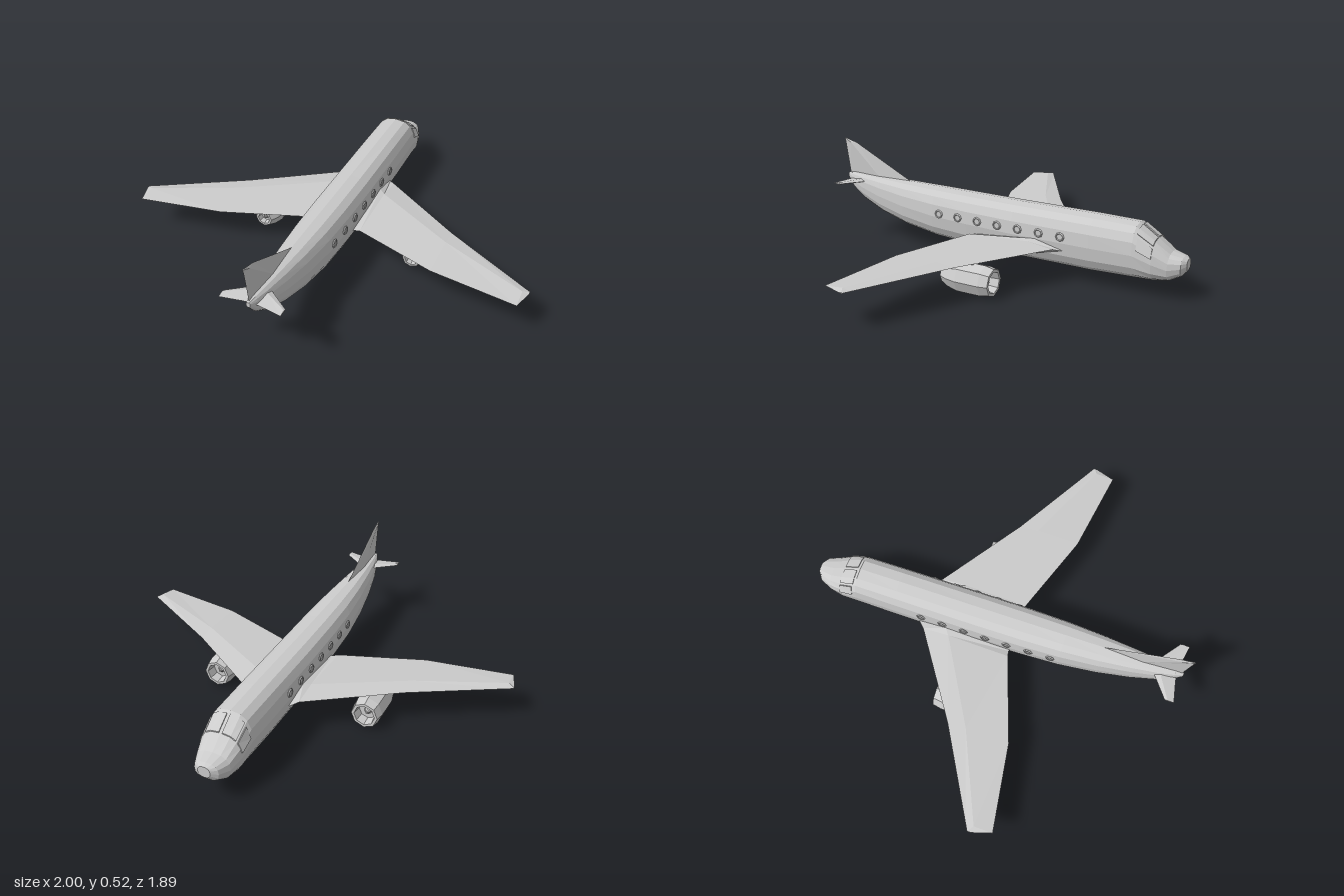
import * as THREE from 'three';

const material = new THREE.MeshStandardMaterial({ color: 0xcccccc, flatShading: true, side: THREE.DoubleSide });
const V = (x, y, z) => new THREE.Vector3(x, y, z);

function add(parent, name, geometry) {
  const mesh = new THREE.Mesh(geometry, material);
  mesh.name = name;
  parent.add(mesh);
  return mesh;
}

// Skin a row of rings (each counter-clockwise about the row's direction) and cap both ends
function loft(rings) {
  const n = rings[0].length, pos = [];
  const tri = (...pts) => pts.forEach(p => pos.push(p.x, p.y, p.z));
  const middle = ring => ring.reduce((s, p) => s.add(p), V(0, 0, 0)).divideScalar(n);
  const first = rings[0], last = rings[rings.length - 1];
  const m0 = middle(first), m1 = middle(last);
  for (let j = 0; j < n; j++) {
    const k = (j + 1) % n;
    for (let i = 0; i < rings.length - 1; i++) {
      const a = rings[i], b = rings[i + 1];
      tri(a[j], a[k], b[k]);
      tri(a[j], b[k], b[j]);
    }
    tri(m0, first[k], first[j]);
    tri(m1, last[j], last[k]);
  }
  const g = new THREE.BufferGeometry();
  g.setAttribute('position', new THREE.Float32BufferAttribute(pos, 3));
  g.computeVertexNormals();
  return g;
}

// Fuselage stations: z, bottom, top, half width
const STATIONS = [
  [-0.945, 0.15, 0.205, 0.03], [-0.925, 0.125, 0.215, 0.06], [-0.87, 0.095, 0.228, 0.085],
  [-0.8, 0.085, 0.28, 0.102], [-0.71, 0.08, 0.34, 0.106], [-0.5, 0.073, 0.343, 0.108],
  [-0.1, 0.075, 0.343, 0.109], [0.15, 0.085, 0.345, 0.107], [0.35, 0.096, 0.348, 0.1],
  [0.54, 0.125, 0.35, 0.084], [0.7, 0.168, 0.352, 0.063], [0.82, 0.22, 0.352, 0.043],
  [0.89, 0.268, 0.352, 0.026], [0.93, 0.32, 0.345, 0.01],
];
const SIDES = 16;

// Point on the fuselage skin at z, j steps round from the +x side
function skin(z, j, out = 0) {
  let i = 0;
  while (i < STATIONS.length - 2 && z > STATIONS[i + 1][0]) i++;
  const a = STATIONS[i], b = STATIONS[i + 1];
  const f = (z - a[0]) / (b[0] - a[0]);
  const [, lo, hi, w] = a.map((v, c) => v + (b[c] - v) * f);
  const t = j * 2 * Math.PI / SIDES;
  const c = Math.cos(t), s = Math.sin(t);
  const bulge = v => Math.sign(v) * Math.abs(v) ** 0.8;
  return V(bulge(c) * w + c * out, (lo + hi) / 2 + bulge(s) * (hi - lo) / 2 + s * out, z);
}

// Wing or tail surface from stations: x, leading z, trailing z, middle y, half thickness
function surface(stations, side) {
  const rings = stations.map(([x, lead, trail, y, h]) => {
    const z = lead + (trail - lead) * 0.3;
    return [V(side * x, y + h, z), V(side * x, y, trail), V(side * x, y - h, z), V(side * x, y, lead)];
  });
  return loft(side > 0 ? rings : rings.reverse());
}

export function createModel() {
  const model = new THREE.Group();
  model.name = 'airliner';

  add(model, 'fuselage', loft(STATIONS.map(s =>
    Array.from({ length: SIDES }, (_, j) => skin(s[0], j)))));

  // Cockpit panes, slightly proud of the skin
  const cockpit = new THREE.Group();
  cockpit.name = 'cockpitWindows';
  model.add(cockpit);
  for (const [j0, j1, z0, z1] of [
    [0.5, 1.8, -0.8, -0.73], [2.2, 3, -0.8, -0.725], [3, 3.9, -0.8, -0.725],
    [4.1, 5, -0.8, -0.725], [5, 5.8, -0.8, -0.725], [6.2, 7.5, -0.8, -0.73],
  ]) {
    const ring = z => [skin(z, j0, 0.005), skin(z, j1, 0.005), skin(z, j1, -0.004), skin(z, j0, -0.004)];
    // Corner order runs outside then inside, so it is turned to face out
    add(cockpit, 'cockpitPane', loft([ring(z0).reverse(), ring(z1).reverse()].reverse()));
  }

  for (const side of [1, -1]) {
    const label = side > 0 ? 'left' : 'right';

    // Wing with thick root fairing
    add(model, label + 'Wing', surface([
      [0.07, -0.4, 0.12, 0.17, 0.045], [0.11, -0.37, 0.1, 0.172, 0.036],
      [0.14, -0.34, 0.105, 0.183, 0.018], [0.55, -0.06, 0.25, 0.185, 0.011],
      [0.97, 0.183, 0.315, 0.183, 0.009], [1.0, 0.2, 0.22, 0.183, 0.003],
    ], side));

    add(model, label + 'Tailplane', surface([
      [0, 0.78, 0.9, 0.318, 0.012], [0.04, 0.8, 0.905, 0.32, 0.009], [0.145, 0.88, 0.925, 0.322, 0.005],
    ], side));

    // Engine: one closed profile with hollow intake, spinner and exhaust plug
    const engine = new THREE.Group();
    engine.name = label + 'Engine';
    engine.position.set(side * 0.4, 0.08, 0);
    model.add(engine);
    const profile = [
      [0, -0.155], [0.02, -0.125], [0.045, -0.125], [0.052, -0.175], [0.066, -0.175], [0.075, -0.13],
      [0.075, -0.01], [0.062, 0.045], [0.043, 0.085], [0.032, 0.085], [0.028, 0.055], [0.014, 0.055], [0, 0.08],
    ].map(([r, z]) => new THREE.Vector2(r, z));
    add(engine, 'nacelle', new THREE.LatheGeometry(profile, 8).rotateX(Math.PI / 2));
    add(engine, 'pylon', new THREE.BoxGeometry(0.022, 0.05, 0.15).translate(0, 0.083, 0));

    // Cabin windows: raised ring and pane
    for (let i = 0; i < 7; i++) {
      const z = -0.36 + i * 0.111;
      const porthole = new THREE.Group();
      porthole.name = label + 'CabinWindow';
      const x = skin(z, 0.5).x;
      porthole.position.set(side * x, 0.238, z);
      porthole.rotation.y = side * Math.PI / 2;
      add(porthole, 'windowRing', new THREE.TorusGeometry(0.018, 0.005, 4, 8));
      add(porthole, 'windowPane', new THREE.CircleGeometry(0.017, 8).translate(0, 0, 0.002));
      model.add(porthole);
    }
  }

  // Fin stations: y, leading z, trailing z, half thickness
  add(model, 'fin', loft([
    [0.33, 0.5, 0.92, 0.011], [0.35, 0.54, 0.922, 0.01], [0.512, 0.87, 0.945, 0.006], [0.53, 0.935, 0.95, 0.003],
  ].map(([y, lead, trail, h]) => {
    const z = lead + (trail - lead) * 0.5;
    return [V(0, y, trail), V(h, y, z), V(0, y, lead), V(-h, y, z)];
  })));

  return model;
}
